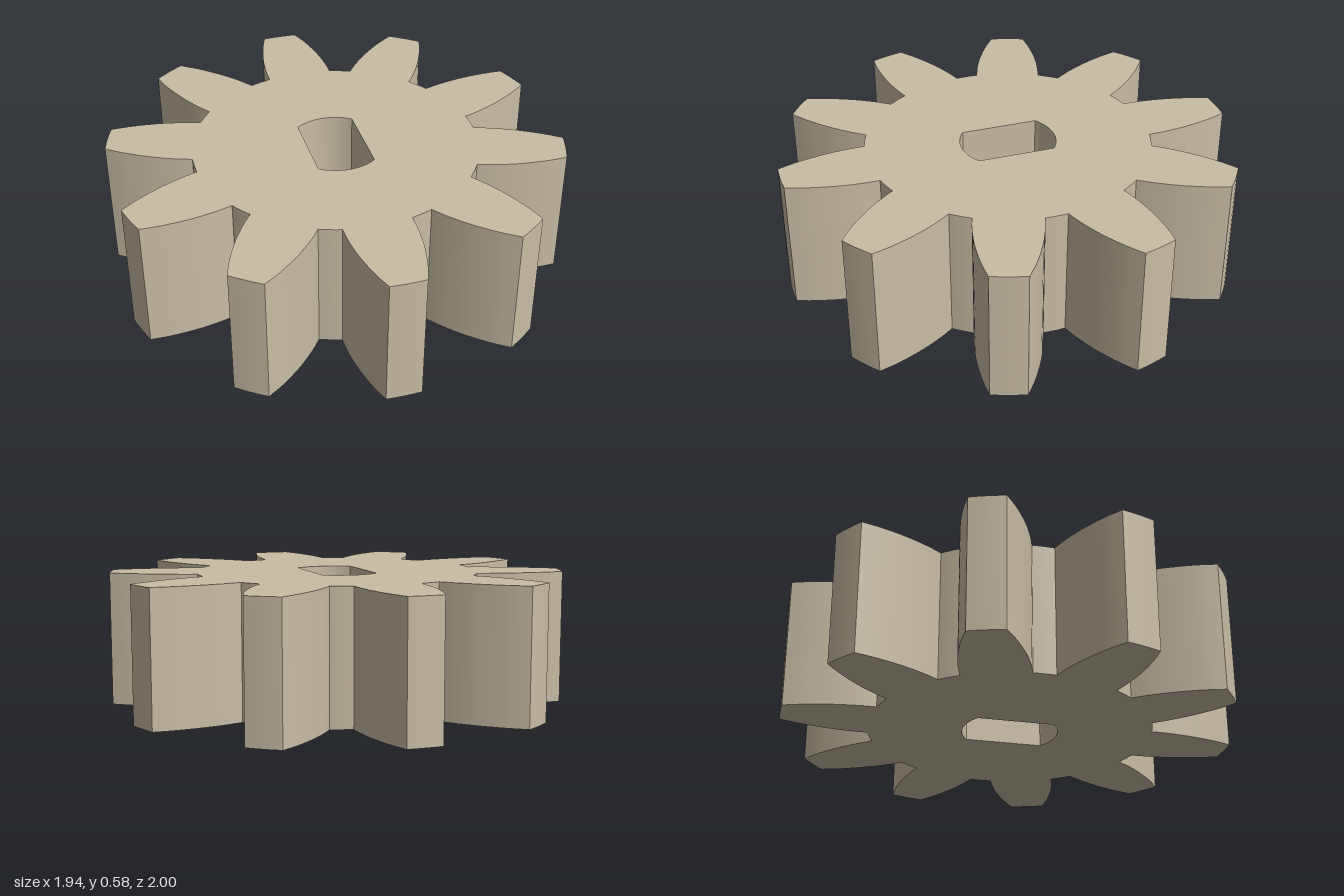
import * as THREE from 'three';
import { toCreasedNormals } from 'three/addons/utils/BufferGeometryUtils.js';

const TEETH = 10, HEIGHT = 0.585, TIP_R = 1, BORE_R = 0.21, BORE_FLAT = 0.125;

// Right flank of the upright tooth, from root to tip
const FLANK = [[0.146, 0.608], [0.145, 0.68], [0.136, 0.77], [0.121, 0.85], [0.102, 0.925], [0.077, 0.997]];

function gearOutline() {
  const flank = new THREE.SplineCurve(FLANK.map(([x, y]) => new THREE.Vector2(x, y))).getPoints(14);
  const mirrored = flank.map(p => new THREE.Vector2(-p.x, p.y)).reverse();
  const rootR = flank[0].length();
  const rootA = Math.atan2(flank[0].x, flank[0].y);
  const tipA = Math.atan2(FLANK[5][0], FLANK[5][1]);
  const pitch = 2 * Math.PI / TEETH;
  const polar = (r, a) => new THREE.Vector2(-r * Math.sin(a), r * Math.cos(a));

  // One tooth and the root arc after it, counter-clockwise
  const tooth = [...flank];
  for (let i = 1; i < 4; i++) tooth.push(polar(TIP_R, tipA * (i / 2 - 1)));
  tooth.push(...mirrored);
  for (let i = 1; i < 4; i++) tooth.push(polar(rootR, rootA + (pitch - 2 * rootA) * i / 4));

  const points = [];
  const centre = new THREE.Vector2();
  for (let i = 0; i < TEETH; i++) {
    for (const p of tooth) points.push(p.clone().rotateAround(centre, i * pitch));
  }
  return new THREE.Shape(points);
}

// Round shaft bore with two flats
function shaftBore() {
  const a = Math.acos(BORE_FLAT / BORE_R);
  const bore = new THREE.Path();
  bore.absarc(0, 0, BORE_R, a, Math.PI - a, false);
  bore.absarc(0, 0, BORE_R, Math.PI + a, 2 * Math.PI - a, false);
  bore.closePath();
  return bore;
}

export function createModel() {
  const group = new THREE.Group();
  group.name = 'spurGear';

  const shape = gearOutline();
  shape.holes.push(shaftBore());
  const geometry = new THREE.ExtrudeGeometry(shape, { depth: HEIGHT, bevelEnabled: false, curveSegments: 20 });
  geometry.rotateX(-Math.PI / 2);

  const gear = new THREE.Mesh(
    toCreasedNormals(geometry, Math.PI / 9),
    new THREE.MeshStandardMaterial({ color: 0xc8bda6 })
  );
  gear.name = 'gearBody';
  group.add(gear);
  return group;
}
